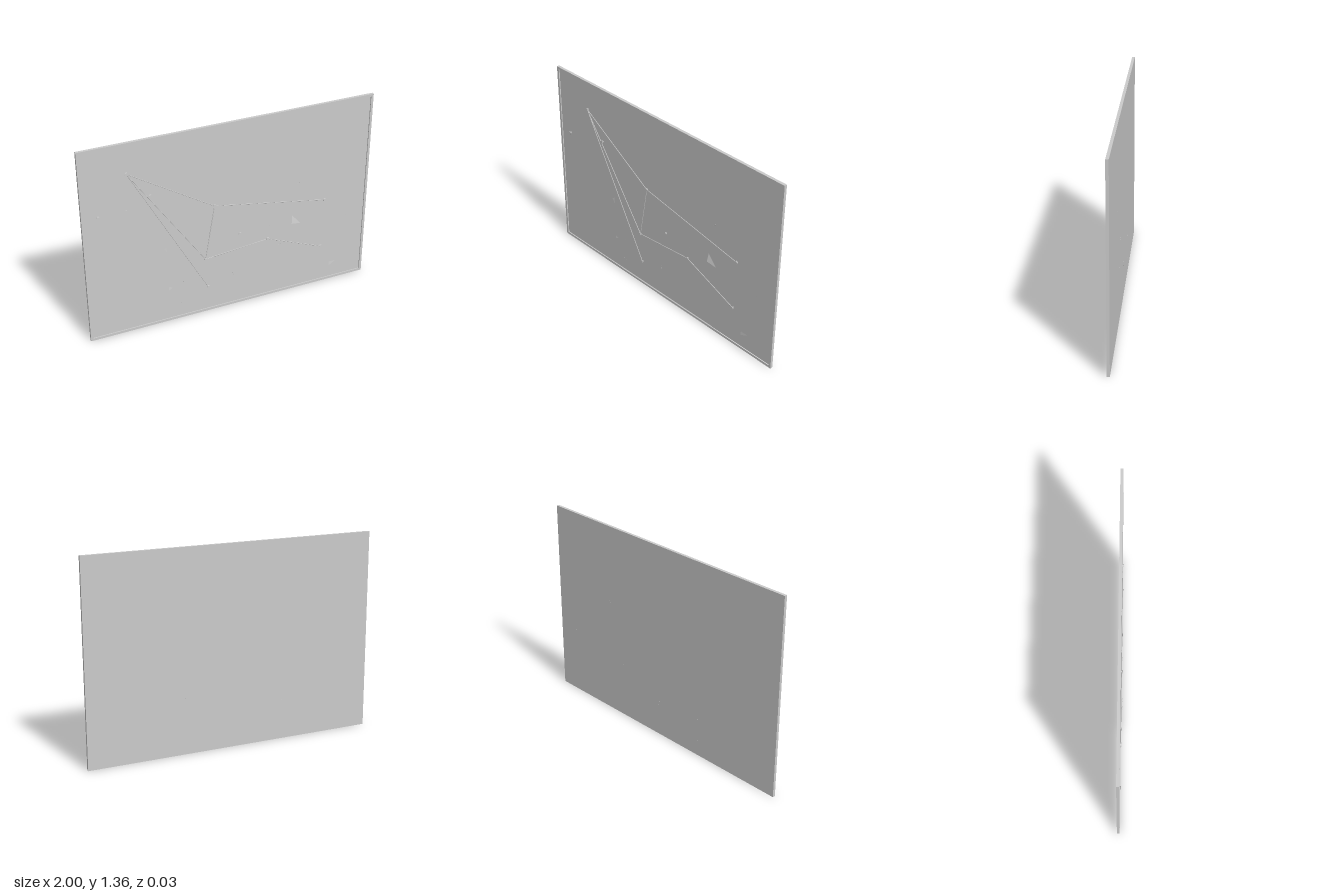
import * as THREE from 'three';

const W = 2, H = 1.36, RIM = 0.017;
const BACK = -0.012, FRONT = 0.007, FACE = 0;

export function createModel() {
  const root = new THREE.Group();
  root.name = 'pinboard';
  const mat = new THREE.MeshStandardMaterial({ color: 0xcccccc });
  const thin = new THREE.MeshStandardMaterial({ color: 0xcccccc, side: THREE.DoubleSide });

  const add = (name, geometry, material = mat, parent = root) => {
    const mesh = new THREE.Mesh(geometry, material);
    mesh.name = name;
    parent.add(mesh);
    return mesh;
  };
  // Thin round rod between two points
  const rod = (name, a, b, radius, sides, parent) => {
    const dir = b.clone().sub(a);
    const mesh = add(name, new THREE.CylinderGeometry(radius, radius, dir.length(), sides), mat, parent);
    mesh.position.copy(a).add(b).multiplyScalar(0.5);
    mesh.quaternion.setFromUnitVectors(new THREE.Vector3(0, 1, 0), dir.normalize());
    return mesh;
  };

  // Board panel, recessed inside the frame
  const panel = add('panel', new THREE.BoxGeometry(W - 2 * RIM, H - 2 * RIM, FACE - BACK));
  panel.position.set(0, H / 2, (FACE + BACK) / 2);

  // Four mitred frame rails
  const rail = (length) => {
    const s = new THREE.Shape([
      new THREE.Vector2(-length / 2, 0), new THREE.Vector2(length / 2, 0),
      new THREE.Vector2(length / 2 - RIM, RIM), new THREE.Vector2(-length / 2 + RIM, RIM),
    ]);
    return new THREE.ExtrudeGeometry(s, { depth: FRONT - BACK, bevelEnabled: false });
  };
  [
    ['bottomRail', W, 0, 0, 0],
    ['rightRail', H, -W / 2, H / 2, -Math.PI / 2],
    ['topRail', W, 0, H, Math.PI],
    ['leftRail', H, W / 2, H / 2, Math.PI / 2],
  ].forEach(([name, length, x, y, turn]) => {
    const mesh = add(name, rail(length));
    mesh.position.set(x, y, BACK);
    mesh.rotation.z = turn;
  });

  // Push pins: spool with two flanges and a narrow waist
  const pins = [
    [-0.70, 1.155], [-0.555, 0.97], [-0.895, 0.897], [-0.127, 0.797], [0.675, 0.652],
    [0.052, 0.543], [0.255, 0.452], [-0.193, 0.412], [0.66, 0.288], [-0.177, 0.19],
  ];
  const spool = new THREE.LatheGeometry([
    [0, -0.002], [0.004, -0.002], [0.004, 0.006], [0.011, 0.006], [0.011, 0.008],
    [0.006, 0.0095], [0.006, 0.0115], [0.011, 0.013], [0.011, 0.015], [0, 0.015],
  ].map(([r, y]) => new THREE.Vector2(r, y)), 14).toNonIndexed();
  spool.computeVertexNormals();
  spool.rotateX(Math.PI / 2);
  for (const [x, y] of pins) add('pushPin', spool).position.set(x, y, FACE);

  // Strings stretched from pin to pin
  const at = (i) => new THREE.Vector3(pins[i][0], pins[i][1], 0.0075);
  for (const [a, b] of [[0, 3], [0, 7], [0, 9], [3, 4], [3, 7], [7, 6], [6, 8]]) {
    rod('string', at(a), at(b), 0.0025, 6, root);
  }

  // Staples: crown on the face, legs poking out of the back
  const staples = [
    [0.47, 0.815, 0.485, 0.83], [0.266, 0.54, 0.27, 0.552], [0.845, 0.482, 0.852, 0.492],
    [0.34, 0.38, 0.356, 0.389], [-0.352, 0.272, -0.35, 0.285], [0.003, 0.25, 0.008, 0.228],
    [-0.37, 0.116, -0.35, 0.108], [-0.715, 0.902, -0.708, 0.9],
  ];
  for (const [x1, y1, x2, y2] of staples) {
    const staple = new THREE.Group();
    staple.name = 'staple';
    root.add(staple);
    rod('crown', new THREE.Vector3(x1, y1, 0.0005), new THREE.Vector3(x2, y2, 0.0005), 0.001, 5, staple);
    for (const [x, y] of [[x1, y1], [x2, y2]]) {
      rod('leg', new THREE.Vector3(x, y, BACK - 0.003), new THREE.Vector3(x, y, 0.0005), 0.001, 5, staple);
    }
  }

  // Paper corners lifting off the panel: corner tip, then the two ends of the fold
  const corners = [
    [0.43, 0.525, 0.5, 0.51, 0.435, 0.585, 0.011],
    [-0.475, 0.56, -0.455, 0.525, -0.46, 0.57, 0.003],
    [-0.455, 0.235, -0.425, 0.25, -0.45, 0.262, 0.003],
    [0.735, 0.105, 0.79, 0.135, 0.735, 0.135, 0.003],
  ];
  for (const [x, y, ax, ay, bx, by, lift] of corners) {
    const g = new THREE.BufferGeometry();
    g.setAttribute('position', new THREE.Float32BufferAttribute(
      [x, y, lift, ax, ay, 0.0006, bx, by, 0.0006], 3));
    g.computeVertexNormals();
    add('paperCorner', g, thin);
  }
  return root;
}
